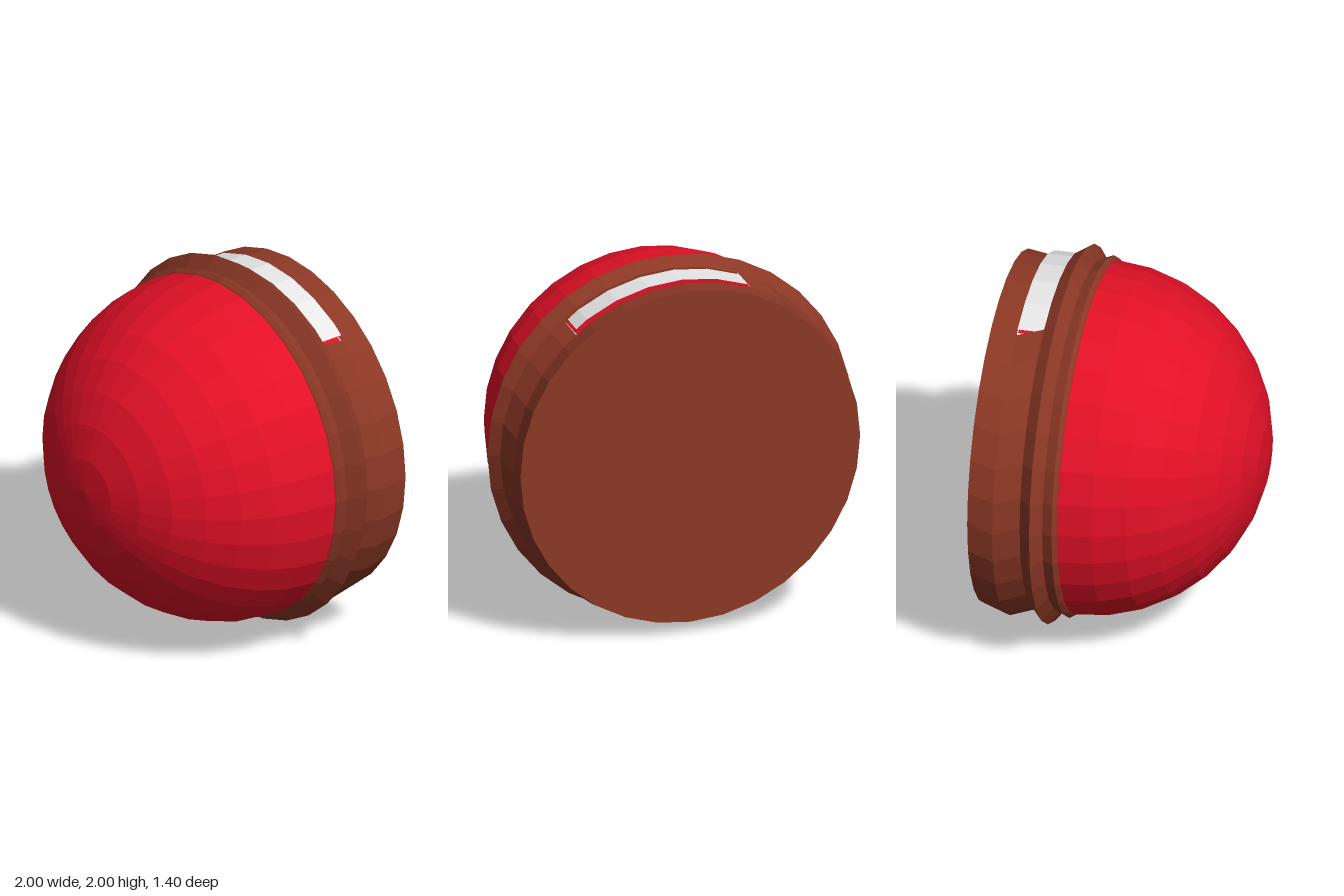
import * as THREE from 'three';

const SIDES = 32, CY = 1;

// Point on a ring; k counts sides from the top towards +x, fractions lie on the chord.
function ringPoint(ring, k) {
  const { z, r, dx = 0, dy = 0 } = ring;
  const at = (i) => {
    const a = (i * Math.PI * 2) / SIDES;
    return new THREE.Vector3(dx + r * Math.sin(a), CY + dy + r * Math.cos(a), z);
  };
  const k0 = Math.floor(k);
  return at(k0).lerp(at(k0 + 1), k - k0);
}

// Faceted skin through rings listed front to back, between the given side stops.
function loft(rings, stops) {
  const pos = [];
  const tri = (...pts) => pts.forEach((p) => pos.push(p.x, p.y, p.z));
  for (let j = 0; j < rings.length - 1; j++) {
    for (let i = 0; i < stops.length - 1; i++) {
      const a = ringPoint(rings[j], stops[i]);
      const b = ringPoint(rings[j], stops[i + 1]);
      const c = ringPoint(rings[j + 1], stops[i + 1]);
      const d = ringPoint(rings[j + 1], stops[i]);
      if (rings[j].r > 0) tri(a, b, c);
      if (rings[j + 1].r > 0) tri(a, c, d);
    }
  }
  const geo = new THREE.BufferGeometry();
  geo.setAttribute('position', new THREE.Float32BufferAttribute(pos, 3));
  geo.computeVertexNormals();
  return geo;
}

export function createModel() {
  const material = (name, color) => {
    const m = new THREE.MeshStandardMaterial({ color });
    m.name = name;
    return m;
  };
  const red = material('red', 0xe21026);
  const brown = material('brown', 0x8c3825);
  const white = material('white', 0xe6e6e6);

  const group = new THREE.Group();
  group.name = 'domedCap';
  const add = (name, geo, mat) => {
    const mesh = new THREE.Mesh(geo, mat);
    mesh.name = name;
    group.add(mesh);
  };

  const round = Array.from({ length: SIDES + 1 }, (_, i) => i);
  const slot = [-2, -1, 0, 1, 2, 3, 3.5];
  const plate = [-2, -1, 0, 1, 2, 3, 3.4];
  const besideSlot = [3.5, ...Array.from({ length: 27 }, (_, i) => i + 4)];

  // Hemisphere facing the front
  const dome = Array.from({ length: 9 }, (_, i) => {
    const a = (i * Math.PI) / 16;
    return { z: -0.22 + 0.92 * Math.cos(a), r: 0.93 * Math.sin(a) };
  });
  add('dome', loft(dome, round), red);

  // Ridged rim, slightly uneven from ring to ring
  const bandFront = { z: -0.42, r: 0.942, dx: 0.01, dy: 0.012 };
  const bandBack = { z: -0.56, r: 0.945, dx: -0.018, dy: -0.027 };
  const backEdge = { z: -0.7, r: 0.932 };
  add('rim', loft([
    { z: -0.22, r: 0.925 }, { z: -0.225, r: 0.935 }, { z: -0.245, r: 0.953 },
    { z: -0.3, r: 0.93 }, { z: -0.355, r: 1 }, bandFront,
  ], round), brown);

  // Band with a slot at the top, then the base
  add('band', loft([bandFront, bandBack], besideSlot), brown);
  add('base', loft([bandBack, backEdge], round), brown);
  add('backPlate', loft([backEdge, { z: -0.7, r: 0 }], round), brown);

  // White plate in the slot, with lining around it
  const plateFront = { z: -0.42, r: 0.942 };
  const plateBack = { z: -0.56, r: 0.94 };
  add('slotPlate', loft([plateFront, plateBack], plate), white);
  add('slotFrontWall', loft([bandFront, { z: -0.42, r: 0.92 }], slot), brown);
  add('slotBackWall', loft([plateBack, bandBack], plate), red);
  add('slotLining', loft([{ z: -0.42, r: 0.925 }, { z: -0.56, r: 0.905 }], slot), red);

  return group;
}
